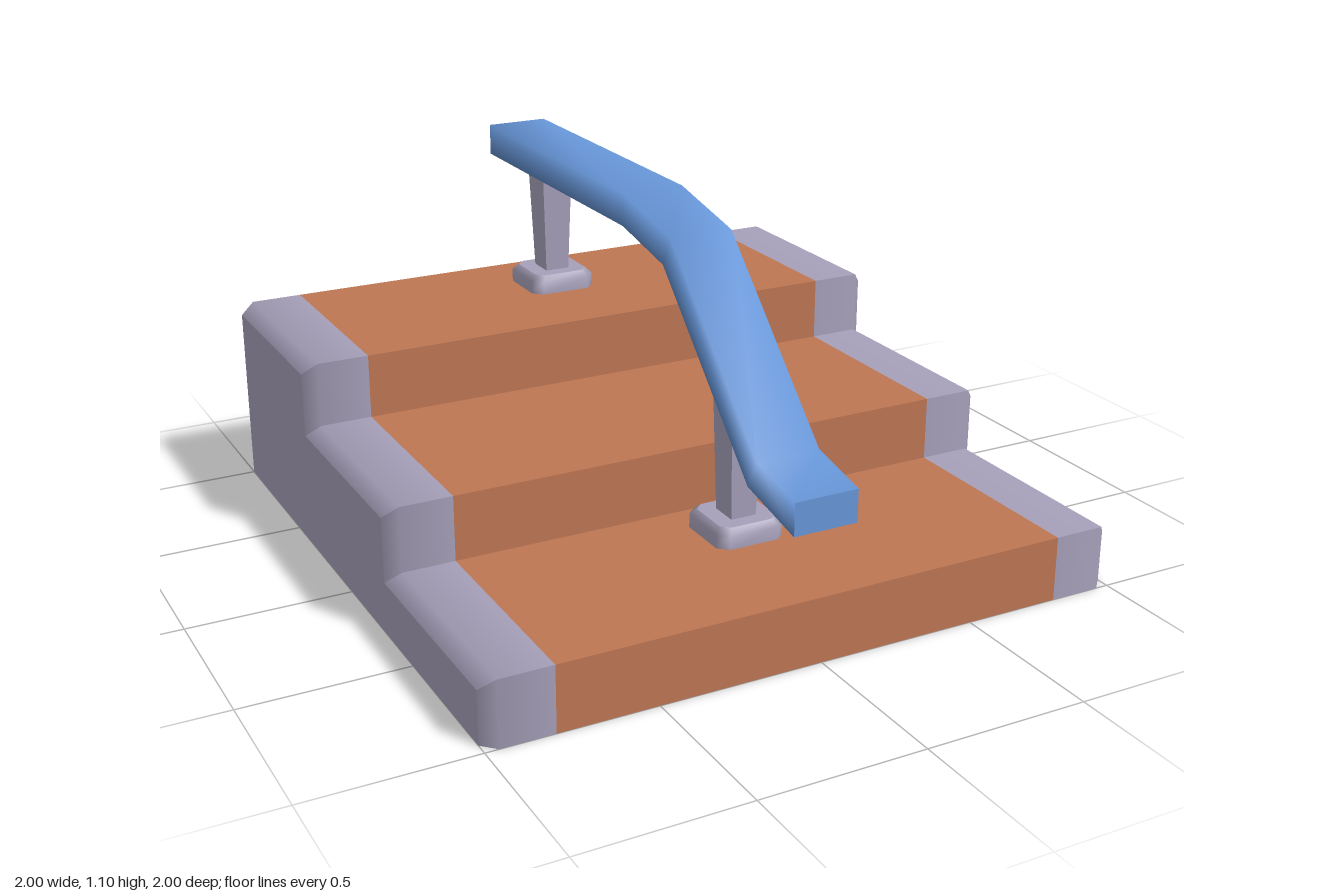
import * as THREE from 'three';
import { mergeGeometries } from 'three/addons/utils/BufferGeometryUtils.js';

const V = (x, y) => new THREE.Vector2(x, y);
const T = 1 / 3, BEVEL = 0.04;

// Stair outline as [z, y], from the front foot up to the top of the back
const OUTLINE = [[1, 0], [1, 0.2], [T, 0.2], [T, 0.4], [-T, 0.4], [-T, 0.6], [-1, 0.6]];
const INSET = OUTLINE.map(([z, y]) => [z > -1 ? z - BEVEL : z, y > 0 ? y - BEVEL : y]);

function makeGeometry(positions, indices) {
  const g = new THREE.BufferGeometry();
  g.setAttribute('position', new THREE.Float32BufferAttribute(positions, 3));
  g.setIndex(indices);
  return g;
}

// Skin a row of rings (counter-clockwise about the direction of travel) and cap both ends
function loft(rings, flat = false) {
  const n = rings[0].length, idx = [], last = rings.length - 1;
  for (let i = 0; i < last; i++) {
    for (let j = 0; j < n; j++) {
      const k = (j + 1) % n, a = i * n + j, b = i * n + k;
      idx.push(a, b, b + n, a, b + n, a + n);
    }
  }
  const first = rings.length * n, end = first + n;
  for (let j = 1; j < n - 1; j++) {
    idx.push(first, first + j + 1, first + j, end, end + j, end + j + 1);
  }
  let g = makeGeometry([...rings, rings[0], rings[last]].flat(2), idx);
  if (flat) g = g.toNonIndexed();
  g.computeVertexNormals();
  return g;
}

// Bevelled side of the stairs; s = 1 for left (+x), -1 for right
function stairEnd(s) {
  const pos = [], nor = [], idx = [];
  for (let i = 0; i < OUTLINE.length - 1; i++) {
    const face = i % 2 ? [0, 1, 0] : [0, 0, 1];
    const base = pos.length / 3;
    for (const k of [i, i + 1]) {
      [[0.8, OUTLINE, 0], [0.96, OUTLINE, 0.5], [1, INSET, 1.6]].forEach(([x, line, lean]) => {
        pos.push(s * x, line[k][1], line[k][0]);
        const v = new THREE.Vector3(s * lean, face[1], face[2]).normalize();
        nor.push(v.x, v.y, v.z);
      });
    }
    for (let c = 0; c < 2; c++) {
      const a = base + c, b = a + 1, d = a + 3, e = a + 4;
      idx.push(...(s > 0 ? [a, b, e, a, e, d] : [a, e, b, a, d, e]));
    }
  }
  const strips = makeGeometry(pos, idx);
  strips.setAttribute('normal', new THREE.Float32BufferAttribute(nor, 3));

  const panel = pts => {
    const g = new THREE.ShapeGeometry(new THREE.Shape(pts));
    g.deleteAttribute('uv');
    return g;
  };
  const side = panel([...INSET, [-1, 0]].map(([z, y]) => V(-s * z, y)))
    .rotateY(s * Math.PI / 2).translate(s, 0, 0);
  const bottom = panel([[0.8, 1], [0.96, 1], [1, 0.96], [1, -1], [0.8, -1]].map(([x, z]) => V(s * x, z)))
    .rotateX(Math.PI / 2);
  const back = panel([[0.8, 0], [1, 0], [1, 0.56], [0.96, 0.6], [0.8, 0.6]].map(([x, y]) => V(-s * x, y)))
    .rotateY(Math.PI).translate(0, 0, -1);
  return mergeGeometries([strips, side, bottom, back]);
}

// Square with cut corners, counter-clockwise about +y
function octagon(r, cut, y) {
  const c = r - cut;
  return [[-c, r], [c, r], [r, c], [r, -c], [c, -r], [-c, -r], [-r, -c], [-r, c]]
    .map(([x, z]) => [x, y, z]);
}

// Square ring whose height may slope along z
function square(hx, hz, yFront, yBack = yFront) {
  return [[-hx, yFront, hz], [hx, yFront, hz], [hx, yBack, -hz], [-hx, yBack, -hz]];
}

export function createModel() {
  const model = new THREE.Group();
  model.name = 'stairsWithRail';
  const material = (name, color) => {
    const m = new THREE.MeshStandardMaterial({ color });
    m.name = name;
    return m;
  };
  const brick = material('brick', 0xbd7653);
  const stone = material('stone', 0xa59fb8);
  const blue = material('blue', 0x6796d8);
  const add = (name, geometry, mat, parent = model) => {
    const mesh = new THREE.Mesh(geometry, mat);
    mesh.name = name;
    parent.add(mesh);
    return mesh;
  };

  // Steps
  const profile = new THREE.Shape([...OUTLINE, [-1, 0]].map(([z, y]) => V(z, y)));
  const steps = new THREE.ExtrudeGeometry(profile, { depth: 1.6, bevelEnabled: false });
  add('steps', steps.rotateY(-Math.PI / 2).translate(0.8, 0, 0), brick);
  add('leftStairEnd', stairEnd(1), stone);
  add('rightStairEnd', stairEnd(-1), stone);

  // Rail: [top z, top y, bottom z, bottom y] at each bend
  const bends = [
    [1, 0.5, 1, 0.4], [0.8, 0.54, 0.755, 0.45], [0.3, 1.04, 0.255, 0.95],
    [0, 1.1, 0, 1], [-1, 1.1, -1, 1],
  ];
  add('rail', loft(bends.map(([tz, ty, bz, by]) =>
    [[-0.1, ty, tz], [0.1, ty, tz], [0.1, by, bz], [-0.1, by, bz]])), blue);

  // Posts and their feet: z, floor height, top height at front and back
  [['front', 0.522, 0.2, 0.635, 0.75], ['back', -0.735, 0.6, 1.005, 1.005]].forEach(([name, z, y, f, b]) => {
    const support = new THREE.Group();
    support.name = name + 'Support';
    support.position.set(0, y, z);
    model.add(support);
    add(name + 'Foot', loft([
      octagon(0.11, 0.03, 0), octagon(0.11, 0.03, 0.042), octagon(0.092, 0.026, 0.06),
    ]), stone, support);
    add(name + 'Post', loft([
      square(0.04, 0.045, 0.05), square(0.052, 0.058, f - y, b - y),
    ], true), stone, support);
  });

  return model;
}
